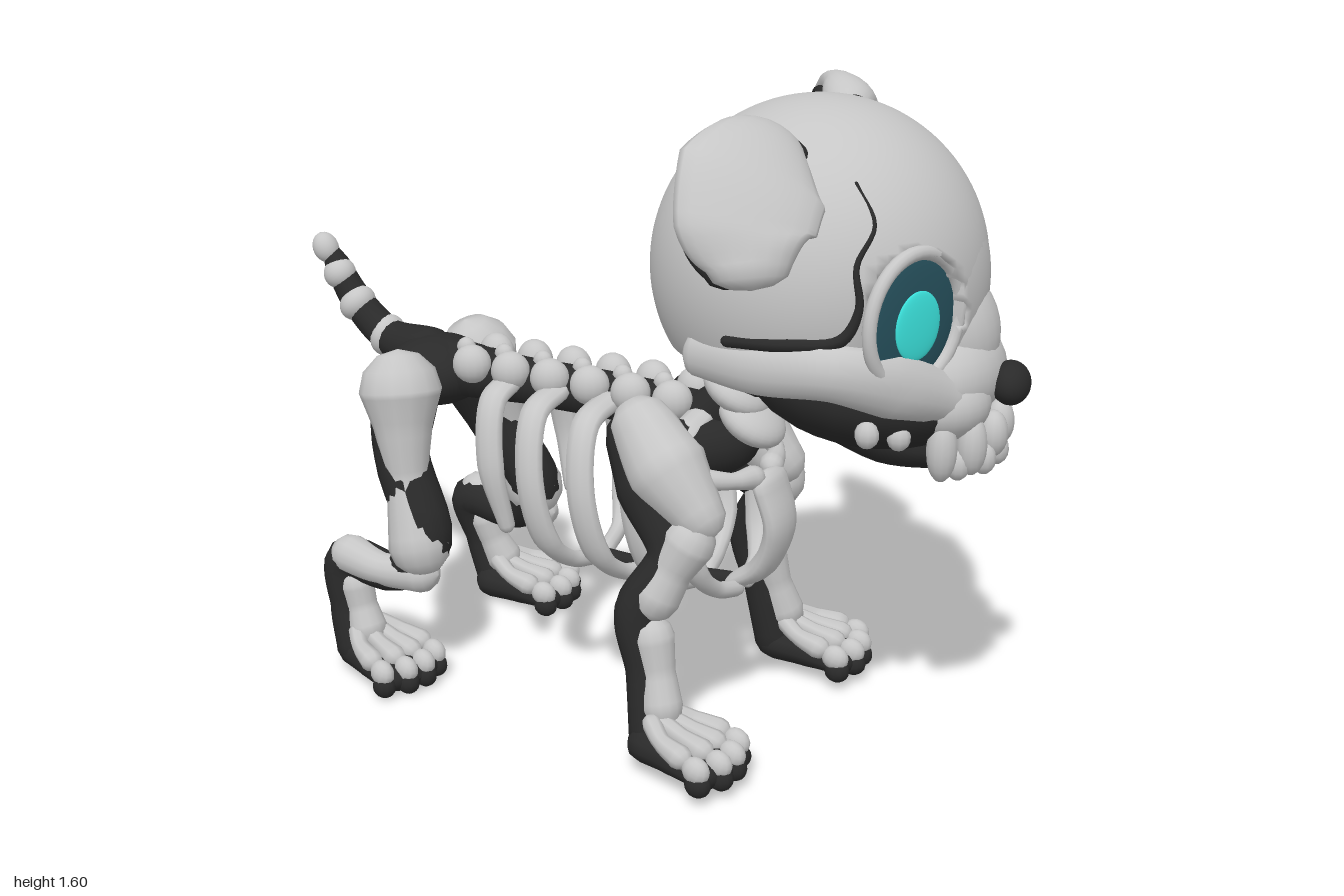
import * as THREE from 'three';

const mat = (name, color) => Object.assign(new THREE.MeshStandardMaterial({ color }), { name });
const bone = mat('bone', 0xc6c6c6), dark = mat('dark', 0x2a2a2a);
const socketMat = mat('socket', 0x26505c), irisMat = mat('iris', 0x3ce6e0);

function add(parent, name, geometry, material) {
  const mesh = new THREE.Mesh(geometry, material);
  mesh.name = name;
  parent.add(mesh);
  return mesh;
}

// Ellipsoid with centre p and radii r
function ball(parent, name, material, p, r, rot = [0, 0, 0], seg = 24) {
  const m = add(parent, name, new THREE.SphereGeometry(1, seg, Math.round(seg * 0.7)), material);
  m.position.set(...p);
  m.scale.set(...r);
  m.rotation.set(...rot);
  return m;
}

// Round-ended sweep; radii holds a number or [along hint, across] per point
function sweep(parent, name, material, points, radii, hint = [0, 0, 1], sides = 14) {
  const curve = new THREE.CatmullRomCurve3(points.map(p => new THREE.Vector3(...p)));
  const last = points.length - 1, steps = last * 6, rings = [];
  const caps = [0, Math.PI / 6, Math.PI / 3];
  caps.forEach(a => rings.push([0, -Math.cos(a), Math.sin(a)]));
  for (let i = 0; i <= steps; i++) rings.push([i / steps, 0, 1]);
  [...caps].reverse().forEach(a => rings.push([1, Math.cos(a), Math.sin(a)]));
  const pos = [], index = [], h = new THREE.Vector3(...hint);
  rings.forEach(([u, off, k], i) => {
    const f = Math.min(u * last, last - 1e-6), n = Math.floor(f), t = f - n;
    const pair = q => (Array.isArray(q) ? q : [q, q]);
    const a = pair(radii[n]), b = pair(radii[n + 1]);
    const rw = a[0] + (b[0] - a[0]) * t, rn = a[1] + (b[1] - a[1]) * t;
    const T = curve.getTangent(u);
    const W = h.clone().addScaledVector(T, -h.dot(T)).normalize();
    const N = T.clone().cross(W);
    const c = curve.getPoint(u).addScaledVector(T, off * Math.min(rw, rn));
    for (let j = 0; j < sides; j++) {
      const g = j / sides * Math.PI * 2;
      const v = c.clone().addScaledVector(W, Math.cos(g) * rw * k).addScaledVector(N, Math.sin(g) * rn * k);
      pos.push(v.x, v.y, v.z);
      if (i === rings.length - 1) continue;
      const p = i * sides + j, q = i * sides + (j + 1) % sides;
      index.push(p, q, p + sides, q, q + sides, p + sides);
    }
  });
  const g = new THREE.BufferGeometry();
  g.setAttribute('position', new THREE.Float32BufferAttribute(pos, 3));
  g.setIndex(index);
  g.computeVertexNormals();
  return add(parent, name, g, material);
}

function group(parent, name, p = [0, 0, 0], yaw = 0) {
  const g = new THREE.Group();
  g.name = name;
  g.position.set(...p);
  g.rotation.y = yaw;
  parent.add(g);
  return g;
}

// Paw pointing along +x, ankle above the origin
function paw(parent, name, p, yaw) {
  const g = group(parent, name, p, yaw);
  sweep(g, 'pawPad', dark, [[0, 0.05, 0], [0.1, 0.05, 0], [0.19, 0.04, 0]],
    [[0.07, 0.05], [0.09, 0.05], [0.1, 0.04]]);
  for (let i = 0; i < 4; i++) {
    const k = i - 1.5, reach = 0.175 - Math.abs(k) * 0.025;
    sweep(g, 'toeBone', bone, [[0.03, 0.12, k * 0.026], [reach - 0.06, 0.1, k * 0.046], [reach, 0.085, k * 0.055]],
      [0.024, 0.022, 0.03], [0, 0, 1], 8);
    ball(g, 'toeTip', bone, [reach + 0.048, 0.067, k * 0.058], [0.036, 0.033, 0.027], [0, 0, -0.4], 12);
    ball(g, 'claw', dark, [reach + 0.054, 0.032, k * 0.058], [0.033, 0.031, 0.028], [0, 0, 0], 12);
  }
}

function leg(root, name, side, shift, core, bones, foot, yaw) {
  const g = group(root, name);
  const place = ([x, y, z]) => {
    const k = 1 - y / 0.8;
    return [x + shift[0] * k, y, side * (z + shift[1] * k)];
  };
  const build = (part, m, list) =>
    sweep(g, part, m, list.map(q => place(q)), list.map(q => q[3]));
  build('legCore', dark, core);
  bones.forEach(b => build('legBone', bone, b));
  paw(g, 'paw', place(foot), yaw);
}

const EYE = [0.268, -0.045, 0.234], EYE_YAW = 0.53;

// Ellipsoid of the skull with a flattened base and both eye sockets pressed in
function skullPart(head, name, centre, r) {
  const g = new THREE.SphereGeometry(1, 88, 64).scale(...r).translate(...centre);
  const p = g.attributes.position, c = Math.cos(EYE_YAW), d = Math.sin(EYE_YAW);
  for (let i = 0; i < p.count; i++) {
    if (p.getY(i) < -0.18) p.setY(i, -0.18 + (p.getY(i) + 0.18) * 0.2);
    const s = p.getZ(i) < 0 ? -1 : 1;
    const x = p.getX(i) - EYE[0], y = p.getY(i) - EYE[1], z = p.getZ(i) * s - EYE[2];
    const depth = x * c + z * d, across = z * c - x * d;
    if (Math.hypot(across / 0.13, y / 0.14) > 1 || depth < -0.03) continue;
    p.setX(i, p.getX(i) - (depth + 0.03) * c);
    p.setZ(i, p.getZ(i) - (depth + 0.03) * d * s);
  }
  g.computeVertexNormals();
  add(head, name, g, bone);
}

function buildHead(root) {
  const head = group(root, 'head', [0.5, 1.205, 0], 0.18);
  skullPart(head, 'cranium', [0, 0, 0], [0.385, 0.385, 0.385]);
  skullPart(head, 'face', [0.14, -0.02, 0], [0.25, 0.31, 0.29]);
  ball(head, 'muzzle', bone, [0.29, -0.22, 0], [0.15, 0.13, 0.2]);
  ball(head, 'bridge', bone, [0.3, -0.12, 0], [0.12, 0.15, 0.13], [0, 0, 0.3]);
  ball(head, 'nose', dark, [0.455, -0.235, 0.015], [0.045, 0.05, 0.064], [0, 0, 0.2]);
  // Jaw
  ball(head, 'throat', dark, [0.12, -0.24, 0], [0.29, 0.16, 0.3], [0, 0, -0.15]);
  sweep(head, 'lowerJaw', dark, [[0.05, -0.28, 0], [0.2, -0.36, 0], [0.33, -0.385, 0]],
    [[0.22, 0.1], [0.19, 0.085], [0.13, 0.065]]);
  [[-1.25, 0.075], [-0.75, 0.07], [-0.25, 0.055], [0.25, 0.055], [0.75, 0.07], [1.25, 0.075]].forEach(([a, h]) =>
    ball(head, 'upperTooth', bone, [0.29 + 0.14 * Math.cos(a), -0.325 - h * 0.45, 0.175 * Math.sin(a)], [0.035, h, 0.038], [0, 0, 0], 14));
  for (const a of [-0.98, -0.48, 0, 0.48, 0.98])
    ball(head, 'lowerTooth', bone, [0.285 + 0.145 * Math.cos(a), -0.4, 0.16 * Math.sin(a)], [0.028, 0.038, 0.028], [0, 0, 0], 12);
  for (const s of [1, -1]) {
    ball(head, 'lip', bone, [0.31, -0.27, s * 0.085], [0.115, 0.09, 0.12]);
    sweep(head, 'cheekbone', bone,
      [[-0.2, -0.155, s * 0.29], [-0.04, -0.155, s * 0.345], [0.12, -0.145, s * 0.35], [0.24, -0.185, s * 0.27], [0.33, -0.25, s * 0.13]],
      [[0.05, 0.03], [0.06, 0.04], [0.065, 0.05], [0.075, 0.05], 0.06], [0, 1, 0]);
    for (let i = 0; i < 2; i++)
      ball(head, 'molar', bone, [0.19 + i * 0.06, -0.3 - i * 0.015, s * (0.285 - i * 0.05)], [0.028, 0.032, 0.025], [0, 0, 0], 10);
    // Seam lying on the temple
    const seam = [[-0.11, -0.095], [0.03, -0.085], [0.14, -0.07], [0.175, 0], [0.165, 0.09], [0.19, 0.17], [0.14, 0.25]];
    sweep(head, 'templeSeam', dark,
      seam.map(([x, y]) => [x, y, s * Math.sqrt(0.384 ** 2 - x * x - y * y)]),
      [0.014, 0.016, 0.015, 0.01, 0.007, 0.005, 0.004], [0.3, 0.3, s], 8);
    // Recessed eye with a soft rim
    const eye = group(head, 'eye', [EYE[0], EYE[1], s * EYE[2]], -s * EYE_YAW);
    const rim = add(eye, 'eyeRim', new THREE.TorusGeometry(0.142, 0.016, 12, 40), bone);
    rim.rotation.y = Math.PI / 2;
    rim.scale.y = 1.06;
    rim.position.x = 0.008;
    ball(eye, 'eyeSocket', socketMat, [0, 0, 0], [0.018, 0.146, 0.138], [0, 0, 0], 36);
    ball(eye, 'iris', irisMat, [0.017, -0.01, 0], [0.009, 0.078, 0.07], [0, 0, 0], 28);
  }
}

// Folded ear: thick bone flap with a narrow dark lining on the inner face
function ear(root, name, hint, pts, widths) {
  const g = group(root, name);
  const s = Math.sign(pts[0][2]);
  sweep(g, 'earFlap', bone, pts, widths.map(w => [w, 0.045]), hint, 20);
  sweep(g, 'earLining', dark, pts.map(([x, y, z]) => [x - 0.03, y - 0.022, z - s * 0.014]),
    widths.map(w => [w * 0.8, 0.03]), hint, 20);
  ball(g, 'earRoot', dark, [pts[0][0], pts[0][1] - 0.01, pts[0][2]], [0.085, 0.06, 0.05], [s * 0.5, 0, 0]);
}

export function createModel() {
  const root = new THREE.Group();
  root.name = 'skeletonPuppy';
  buildHead(root);
  ear(root, 'leftEar', [0.8, -0.5, -0.35], [[0.49, 1.5, 0.23], [0.52, 1.54, 0.32], [0.55, 1.49, 0.45], [0.57, 1.4, 0.52], [0.59, 1.33, 0.54]],
    [0.05, 0.09, 0.165, 0.15, 0.09]);
  ear(root, 'rightEar', [0.8, -0.3, 0.3], [[0.45, 1.5, -0.24], [0.42, 1.53, -0.33], [0.38, 1.44, -0.45], [0.39, 1.27, -0.54], [0.43, 1.17, -0.565]],
    [0.05, 0.07, 0.14, 0.14, 0.07]);

  // Spine, neck and pelvis
  sweep(root, 'spineCore', dark, [[-0.6, 0.78, -0.03], [-0.3, 0.79, 0], [0, 0.79, 0], [0.25, 0.77, 0]], [0.08, 0.06, 0.06, 0.07]);
  for (let i = 0; i < 6; i++) {
    const x = -0.42 + i * 0.115;
    for (const s of [1, -1])
      ball(root, 'vertebra', bone, [x, 0.83, s * 0.058], [0.05, 0.05, 0.042], [0, s * 0.3, 0], 16);
    ball(root, 'spinePeak', bone, [x - 0.055, 0.85, 0], [0.026, 0.026, 0.022], [0, 0, 0], 12);
  }
  sweep(root, 'neckCore', dark, [[0.22, 0.78, 0], [0.31, 0.87, 0], [0.38, 1, 0]], [0.07, 0.055, 0.08]);
  [[0.34, 0.8], [0.3, 0.87], [0.29, 0.945]].forEach(([x, y], i) =>
    ball(root, 'neckBone', bone, [x, y, 0], [0.09, 0.048, 0.09], [0, 0, -0.6 + i * 0.05]));
  ball(root, 'pelvis', dark, [-0.58, 0.77, -0.02], [0.13, 0.09, 0.14]);

  // Tail
  const tail = [[-0.62, 0.8, -0.04], [-0.76, 0.82, -0.06], [-0.87, 0.9, -0.07], [-0.93, 0.99, -0.07], [-0.965, 1.05, -0.07]];
  sweep(root, 'tailCore', dark, tail, [0.07, 0.048, 0.042, 0.034, 0.015]);
  [[-0.77, 0.82, 0.056, 0.2], [-0.865, 0.895, 0.051, 0.7], [-0.92, 0.97, 0.043, 0.95], [-0.963, 1.035, 0.034, 1.1]].forEach(([x, y, r, a]) =>
    ball(root, 'tailBone', bone, [x, y, -0.065], [0.042, r, r], [0, 0, -a]));

  // Ribcage
  [[-0.31, 0.18], [-0.17, 0.22], [-0.02, 0.23], [0.12, 0.22], [0.23, 0.2]].forEach(([x, w], i) => {
    for (const s of [1, -1]) {
      const pts = [[x, 0.8, s * 0.06], [x, 0.77, s * w * 0.75], [x + 0.02, 0.62, s * w], [x + 0.05, 0.46, s * w * 0.88]];
      if (i) pts.push([x + 0.075, 0.39, s * w * 0.55], [x + 0.09, 0.365, s * 0.03]);
      sweep(root, 'rib', bone, pts, pts.map((p, k) => (k > 3 || (!i && k === 3) ? 0.021 : [0.038, 0.023])), [1, 0, 0], 10);
    }
  });
  sweep(root, 'breastbone', dark, [[-0.1, 0.36, 0], [0.1, 0.355, 0], [0.3, 0.37, 0]], [0.02, 0.022, 0.022]);
  sweep(root, 'chestPlate', bone, [[0.39, 0.65, 0], [0.42, 0.54, 0], [0.38, 0.43, 0], [0.3, 0.37, 0]],
    [[0.075, 0.03], [0.07, 0.03], [0.055, 0.03], [0.035, 0.02]]);
  sweep(root, 'shoulderGirdle', dark, [[0.18, 0.74, -0.17], [0.28, 0.73, 0], [0.18, 0.74, 0.17]], [0.075, 0.07, 0.075], [0, 1, 0]);
  for (const s of [1, -1])
    sweep(root, 'collarbone', bone, [[0.37, 0.67, s * 0.05], [0.35, 0.68, s * 0.12], [0.27, 0.7, s * 0.2]], [0.03, 0.02, 0.03], [0, 1, 0]);

  // Legs, left coordinates; each entry is x, y, z, radius
  const frontCore = [[0.12, 0.76, 0.15, 0.085], [0.18, 0.65, 0.19, 0.09], [0.25, 0.52, 0.25, 0.05], [0.19, 0.38, 0.29, 0.056],
    [0.22, 0.24, 0.3, 0.05], [0.25, 0.08, 0.32, 0.058]];
  const frontBones = [
    [[0.14, 0.79, 0.17, 0.08], [0.22, 0.71, 0.2, 0.1], [0.31, 0.62, 0.215, 0.065]],
    [[0.3, 0.56, 0.24, 0.064], [0.265, 0.49, 0.26, 0.052], [0.235, 0.42, 0.28, 0.058]],
    [[0.235, 0.325, 0.295, 0.052], [0.255, 0.24, 0.305, 0.042], [0.275, 0.16, 0.32, 0.05]]];
  const hindCore = [[-0.58, 0.75, 0.13, 0.09], [-0.56, 0.6, 0.18, 0.07], [-0.475, 0.39, 0.21, 0.07], [-0.56, 0.29, 0.22, 0.05],
    [-0.71, 0.3, 0.23, 0.056], [-0.71, 0.18, 0.24, 0.043], [-0.68, 0.06, 0.24, 0.055]];
  const hindBones = [
    [[-0.56, 0.77, 0.175, 0.105], [-0.545, 0.68, 0.19, 0.075], [-0.525, 0.55, 0.205, 0.052], [-0.485, 0.38, 0.22, 0.08]],
    [[-0.48, 0.305, 0.225, 0.05], [-0.59, 0.3, 0.24, 0.042], [-0.69, 0.32, 0.24, 0.052]],
    [[-0.68, 0.24, 0.235, 0.045], [-0.665, 0.18, 0.235, 0.04], [-0.645, 0.12, 0.24, 0.05]]];
  leg(root, 'leftFrontLeg', 1, [0, 0], frontCore, frontBones, [0.25, 0.02, 0.33], -0.1);
  leg(root, 'rightFrontLeg', -1, [0.02, 0], frontCore, frontBones, [0.25, 0.02, 0.33], 0.1);
  leg(root, 'leftHindLeg', 1, [0, 0], hindCore, hindBones, [-0.68, 0, 0.22], -0.25);
  leg(root, 'rightHindLeg', -1, [0.06, 0.11], hindCore, hindBones, [-0.68, 0, 0.22], 0.15);
  return root;
}
